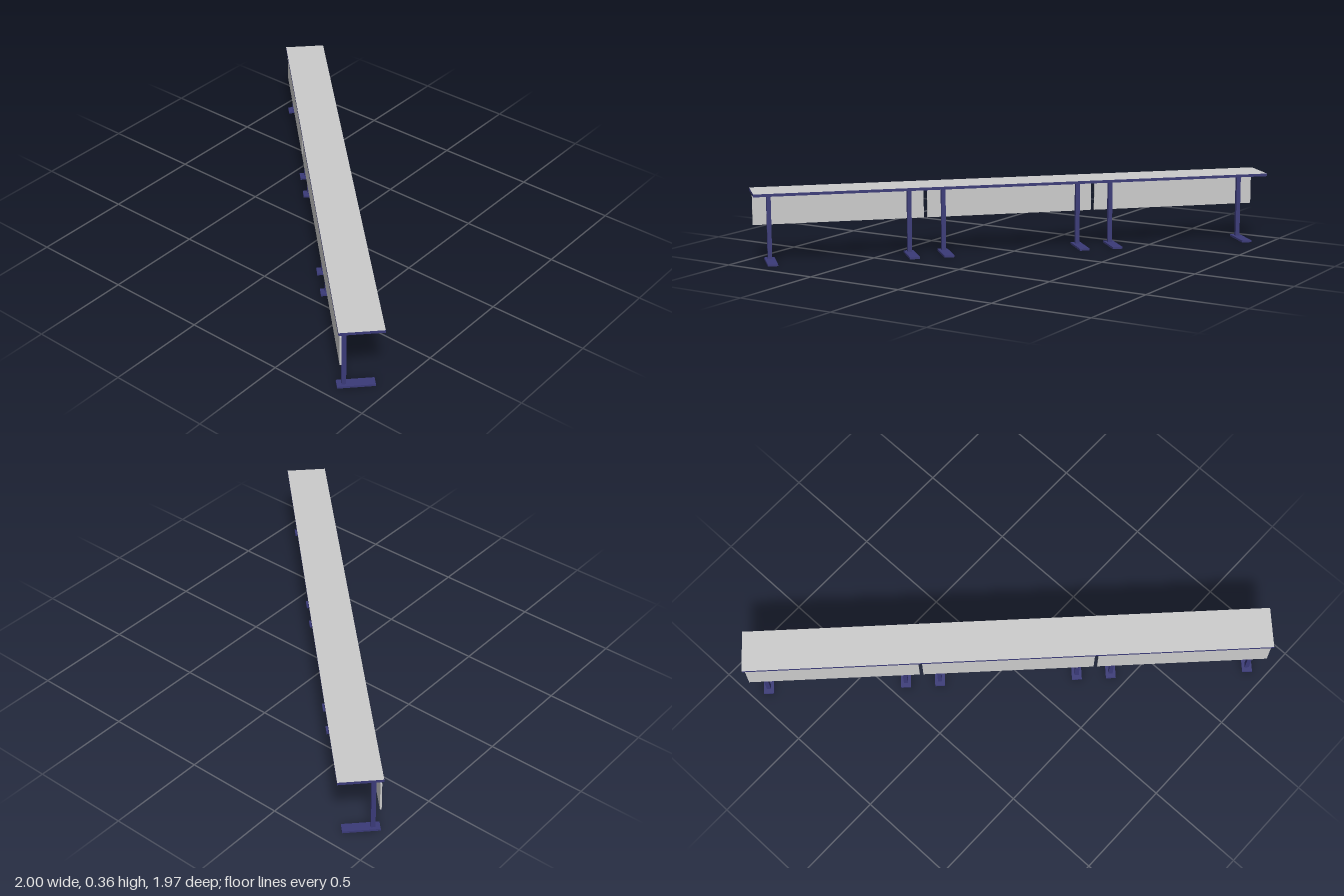
import * as THREE from 'three';

export function createModel() {
  const root = new THREE.Group();
  root.name = 'benchDesk';
  const grey = new THREE.MeshStandardMaterial({ color: 0xcccccc });
  const blue = new THREE.MeshStandardMaterial({ color: 0x3a3a78 });

  // The desk runs along local x and is turned diagonally on the floor
  const desk = new THREE.Group();
  desk.name = 'desk';
  desk.rotation.y = -0.777;
  root.add(desk);

  // Box given by its size, its centre in x and z, and its underside height
  function box(name, [w, h, d], x, y, z, material, parent = desk) {
    const mesh = new THREE.Mesh(new THREE.BoxGeometry(w, h, d), material);
    mesh.name = name;
    mesh.position.set(x, y + h / 2, z);
    parent.add(mesh);
    return mesh;
  }

  // Grey worktop with a blue edge band on its four sides
  box('worktop', [2.596, 0.014, 0.206], 0, 0.345, 0, [blue, blue, grey, grey, blue, blue]);

  // Three bays, each with a modesty panel and two T-shaped legs
  for (const bay of [-1, 0, 1]) {
    const x = bay * 0.864;
    box('modestyPanel', [0.846, 0.15, 0.008], x, 0.175, 0.092, grey);
    for (const side of [-1, 1]) {
      const leg = new THREE.Group();
      leg.name = 'leg';
      leg.position.x = x + side * 0.346;
      desk.add(leg);
      box('post', [0.021, 0.335, 0.021], 0, 0.01, 0.069, blue, leg);
      box('foot', [0.05, 0.01, 0.175], 0, 0, 0.014, blue, leg);
    }
  }
  return root;
}
